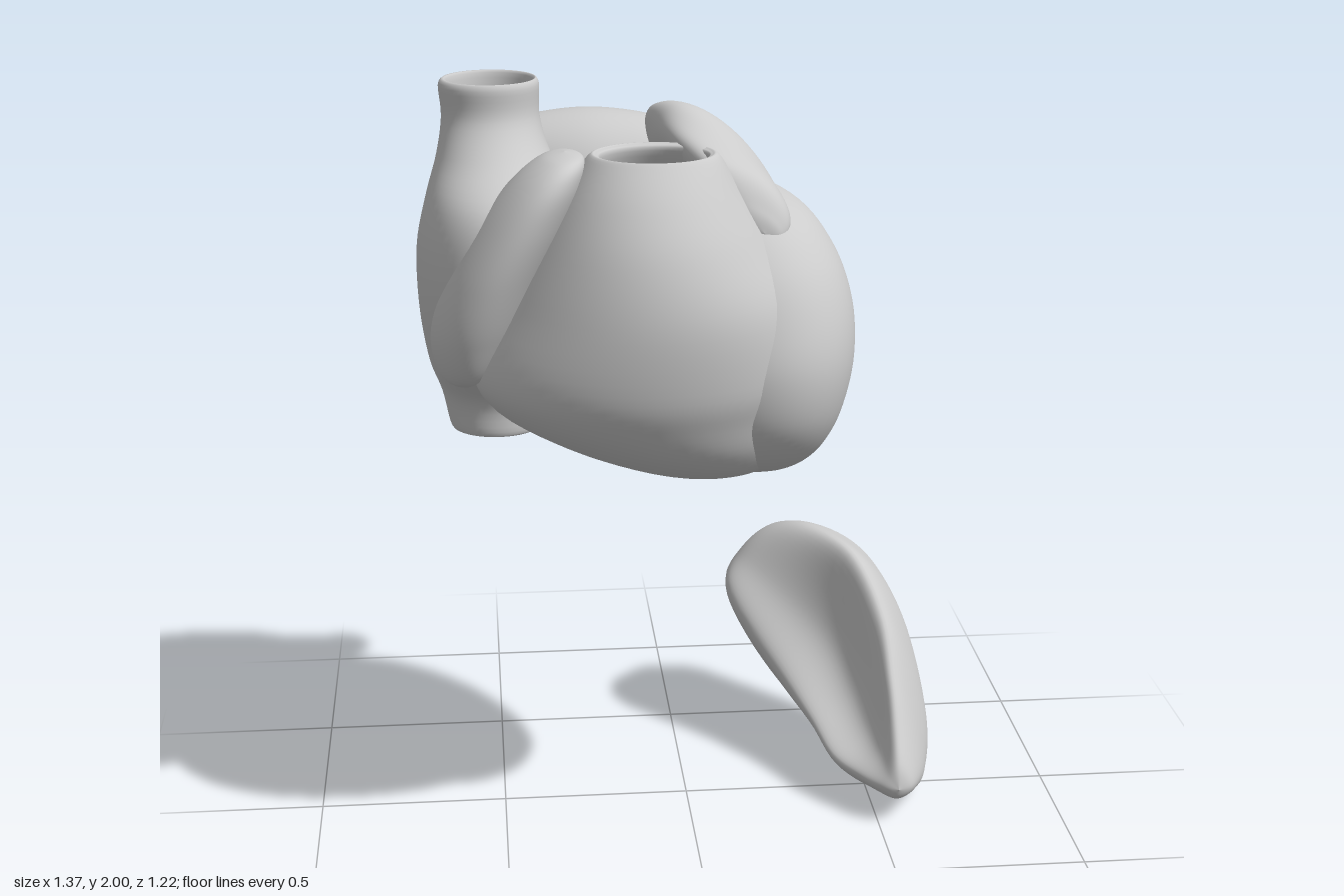
import * as THREE from 'three';

const material = new THREE.MeshStandardMaterial({ color: 0xcccccc, side: THREE.DoubleSide });

// Smooth value of every column of a table at t in 0..1 (Catmull-Rom)
function sample(rows, t) {
  const f = t * (rows.length - 1);
  const i = Math.min(Math.floor(f), rows.length - 2);
  const u = f - i;
  const row = (k) => rows[Math.max(0, Math.min(rows.length - 1, k))];
  return rows[0].map((_, c) => {
    const [a, b, d, e] = [row(i - 1)[c], row(i)[c], row(i + 1)[c], row(i + 2)[c]];
    const m = (d - a) / 2, n = (e - b) / 2;
    return b + m * u + (3 * (d - b) - 2 * m - n) * u * u + (2 * (b - d) + m + n) * u * u * u;
  });
}

// Skin closed rings; point(row, angle) gives a position on a ring
function loft(name, rows, point, steps = 64, sides = 64) {
  const pos = [], index = [];
  for (let i = 0; i <= steps; i++) {
    const row = sample(rows, i / steps);
    for (let j = 0; j < sides; j++) pos.push(...point(row, (j / sides) * Math.PI * 2));
  }
  for (let i = 0; i < steps; i++) {
    for (let j = 0; j < sides; j++) {
      const a = i * sides + j, b = i * sides + ((j + 1) % sides);
      index.push(a, a + sides, b, b, a + sides, b + sides);
    }
  }
  const geometry = new THREE.BufferGeometry();
  geometry.setAttribute('position', new THREE.Float32BufferAttribute(pos, 3));
  // Turn the faces outwards if the enclosed volume is negative
  geometry.computeBoundingBox();
  const mid = geometry.boundingBox.getCenter(new THREE.Vector3());
  const v = (k) => new THREE.Vector3(...pos.slice(k * 3, k * 3 + 3)).sub(mid);
  let volume = 0;
  for (let k = 0; k < index.length; k += 3) volume += v(index[k]).dot(v(index[k + 1]).cross(v(index[k + 2])));
  if (volume < 0) index.reverse();
  geometry.setIndex(index);
  geometry.computeVertexNormals();
  const mesh = new THREE.Mesh(geometry, material);
  mesh.name = name;
  return mesh;
}

// Horizontal oval ring from [y, xMin, xMax, zMin, zMax]; shear slides the front to +x
const oval = (shear = 0) => ([y, x0, x1, z0, z1], a) => [
  (x0 + x1) / 2 + ((x1 - x0) / 2) * (Math.cos(a) + shear * Math.sin(a)),
  y,
  (z0 + z1) / 2 + ((z1 - z0) / 2) * Math.sin(a),
];

// Half of the left atrium: swells in the middle and narrows to an open vein at each end.
// end and middle are [y, z]; ry and rz are the radii at the middle
function atriumHalf(name, end, middle, ry, rz) {
  // [distance from the middle, radius of the vein, share of the swelling]
  const half = [[0.24, 0.035, 0], [0.31, 0.042, 0], [0.3275, 0.054, 0], [0.305, 0.062, 0.04],
    [0.23, 0.06, 0.38], [0.13, 0.06, 0.8], [0, 0.06, 1]];
  const ring = (side) => ([d, r, k]) => [
    -0.2425 + side * d,
    end[0] + (middle[0] - end[0]) * k,
    end[1] + (middle[1] - end[1]) * k,
    r + (ry - r) * k,
    r + (rz - r) * k,
  ];
  const rows = [...half.map(ring(-1)), ...half.slice(0, -1).reverse().map(ring(1))];
  return loft(name, rows, ([x, y, z, a, b], t) => [x, y + a * Math.cos(t), z + b * Math.sin(t)], 96, 48);
}

function createHeart() {
  const heart = new THREE.Group();
  heart.name = 'heart';

  heart.add(loft('leftVentricle', [
    [1.018, 0.14, 0.14, 0.12, 0.12],
    [1.024, 0.07, 0.21, 0.03, 0.22],
    [1.055, -0.04, 0.275, -0.06, 0.33],
    [1.12, -0.12, 0.325, -0.14, 0.43],
    [1.22, -0.17, 0.365, -0.22, 0.5],
    [1.35, -0.2, 0.39, -0.27, 0.52],
    [1.48, -0.2, 0.385, -0.275, 0.49],
    [1.6, -0.18, 0.345, -0.24, 0.43],
    [1.7, -0.12, 0.27, -0.17, 0.33],
    [1.76, -0.02, 0.15, -0.05, 0.18],
    [1.77, 0.06, 0.06, 0.06, 0.06],
  ], oval(0.25)));

  // Open at the top where the great artery leaves
  heart.add(loft('rightVentricle', [
    [1.03, 0.03, 0.03, 0.18, 0.18],
    [1.035, -0.07, 0.15, 0.07, 0.3],
    [1.07, -0.21, 0.23, -0.05, 0.41],
    [1.14, -0.38, 0.27, -0.12, 0.5],
    [1.23, -0.52, 0.29, -0.15, 0.56],
    [1.33, -0.55, 0.3, -0.15, 0.597],
    [1.5, -0.475, 0.265, -0.14, 0.61],
    [1.65, -0.4, 0.18, -0.08, 0.58],
    [1.77, -0.33, 0.105, 0.05, 0.52],
    [1.855, -0.27, 0.055, 0.17, 0.455],
    [1.865, -0.25, 0.035, 0.19, 0.44],
    [1.84, -0.24, 0.03, 0.2, 0.435],
    [1.7, -0.28, 0.1, 0.12, 0.5],
  ], oval()));

  // Right atrium running into the upper and lower great veins, open at both ends
  heart.add(loft('rightAtriumAndGreatVeins', [
    [1.2, -0.59, -0.4, -0.08, 0.11],
    [1.11, -0.6, -0.39, -0.09, 0.12],
    [1.108, -0.615, -0.375, -0.1, 0.13],
    [1.2, -0.635, -0.37, -0.11, 0.15],
    [1.3, -0.665, -0.34, -0.15, 0.26],
    [1.45, -0.685, -0.3, -0.19, 0.35],
    [1.6, -0.685, -0.28, -0.2, 0.37],
    [1.72, -0.66, -0.29, -0.17, 0.34],
    [1.82, -0.63, -0.345, -0.12, 0.22],
    [1.91, -0.615, -0.37, -0.1, 0.15],
    [1.99, -0.62, -0.37, -0.1, 0.145],
    [1.99, -0.6, -0.385, -0.085, 0.13],
    [1.85, -0.6, -0.39, -0.08, 0.12],
  ], oval()));

  // Right auricle: a narrow flap along the edge of the right ventricle
  heart.add(loft('rightAuricle', [
    [1.27, -0.57, -0.57, 0.24, 0.24],
    [1.31, -0.635, -0.515, 0.12, 0.345],
    [1.42, -0.655, -0.455, 0.1, 0.41],
    [1.56, -0.61, -0.39, 0.1, 0.445],
    [1.7, -0.53, -0.32, 0.12, 0.455],
    [1.8, -0.45, -0.28, 0.16, 0.44],
    [1.855, -0.38, -0.275, 0.2, 0.39],
    [1.87, -0.32, -0.32, 0.29, 0.29],
  ], oval()));

  // Left atrium: two merging swellings, each ending in a vein on both sides
  heart.add(atriumHalf('leftAtriumUpper', [1.755, -0.23], [1.68, -0.22], 0.2, 0.175));
  heart.add(atriumHalf('leftAtriumLower', [1.54, -0.355], [1.53, -0.235], 0.2, 0.175));

  // Left auricle: a tilted flap, rings [z, x, y, long radius, short radius]
  const tilt = -0.75;
  heart.add(loft('leftAuricle', [
    [0.365, 0.155, 1.675, 0, 0],
    [0.355, 0.15, 1.69, 0.06, 0.03],
    [0.31, 0.13, 1.74, 0.125, 0.055],
    [0.2, 0.1, 1.77, 0.175, 0.07],
    [0.1, 0.07, 1.795, 0.19, 0.085],
    [0, 0.045, 1.78, 0.19, 0.09],
    [-0.07, 0.035, 1.775, 0.15, 0.075],
    [-0.1, 0.02, 1.77, 0, 0],
  ], ([z, x, y, a, b], t) => {
    const r = 1 + 0.05 * Math.sin(3 * t + z * 14);
    const u = a * r * Math.cos(t), v = b * r * Math.sin(t);
    return [x + u * Math.cos(tilt) - v * Math.sin(tilt), y + u * Math.sin(tilt) + v * Math.cos(tilt), z];
  }));
  return heart;
}

// Spleen: each row is z, then x, y of the lower rim, hollow, upper rim, outer side and underside
function createSpleen() {
  return loft('spleen', [
    [-0.61, 0.34, 0.44, 0.34, 0.44, 0.34, 0.44, 0.34, 0.44, 0.34, 0.44],
    [-0.595, 0.27, 0.41, 0.28, 0.49, 0.35, 0.53, 0.42, 0.47, 0.35, 0.34],
    [-0.54, 0.22, 0.39, 0.24, 0.52, 0.35, 0.58, 0.48, 0.49, 0.36, 0.23],
    [-0.45, 0.18, 0.39, 0.2, 0.54, 0.36, 0.625, 0.55, 0.47, 0.41, 0.11],
    [-0.36, 0.18, 0.37, 0.25, 0.51, 0.4, 0.645, 0.61, 0.43, 0.46, 0.045],
    [-0.2, 0.28, 0.25, 0.41, 0.38, 0.49, 0.615, 0.66, 0.32, 0.55, 0.01],
    [-0.05, 0.355, 0.17, 0.47, 0.265, 0.55, 0.49, 0.68, 0.18, 0.6, 0.005],
    [0.08, 0.395, 0.125, 0.495, 0.2, 0.56, 0.355, 0.655, 0.12, 0.58, 0.02],
    [0.17, 0.455, 0.11, 0.51, 0.17, 0.56, 0.25, 0.625, 0.11, 0.56, 0.055],
    [0.235, 0.51, 0.105, 0.525, 0.14, 0.555, 0.17, 0.59, 0.11, 0.55, 0.075],
    [0.255, 0.55, 0.11, 0.55, 0.11, 0.55, 0.11, 0.55, 0.11, 0.55, 0.11],
  ], ([z, ...p], t) => {
    const ring = [0, 2, 4, 6, 8].map((k) => new THREE.Vector3(p[k], p[k + 1], z));
    return new THREE.CatmullRomCurve3(ring, true, 'catmullrom', 0.6).getPoint(t / (2 * Math.PI)).toArray();
  });
}

export function createModel() {
  const model = new THREE.Group();
  model.name = 'heartAndSpleen';
  model.add(createHeart(), createSpleen());
  return model;
}
